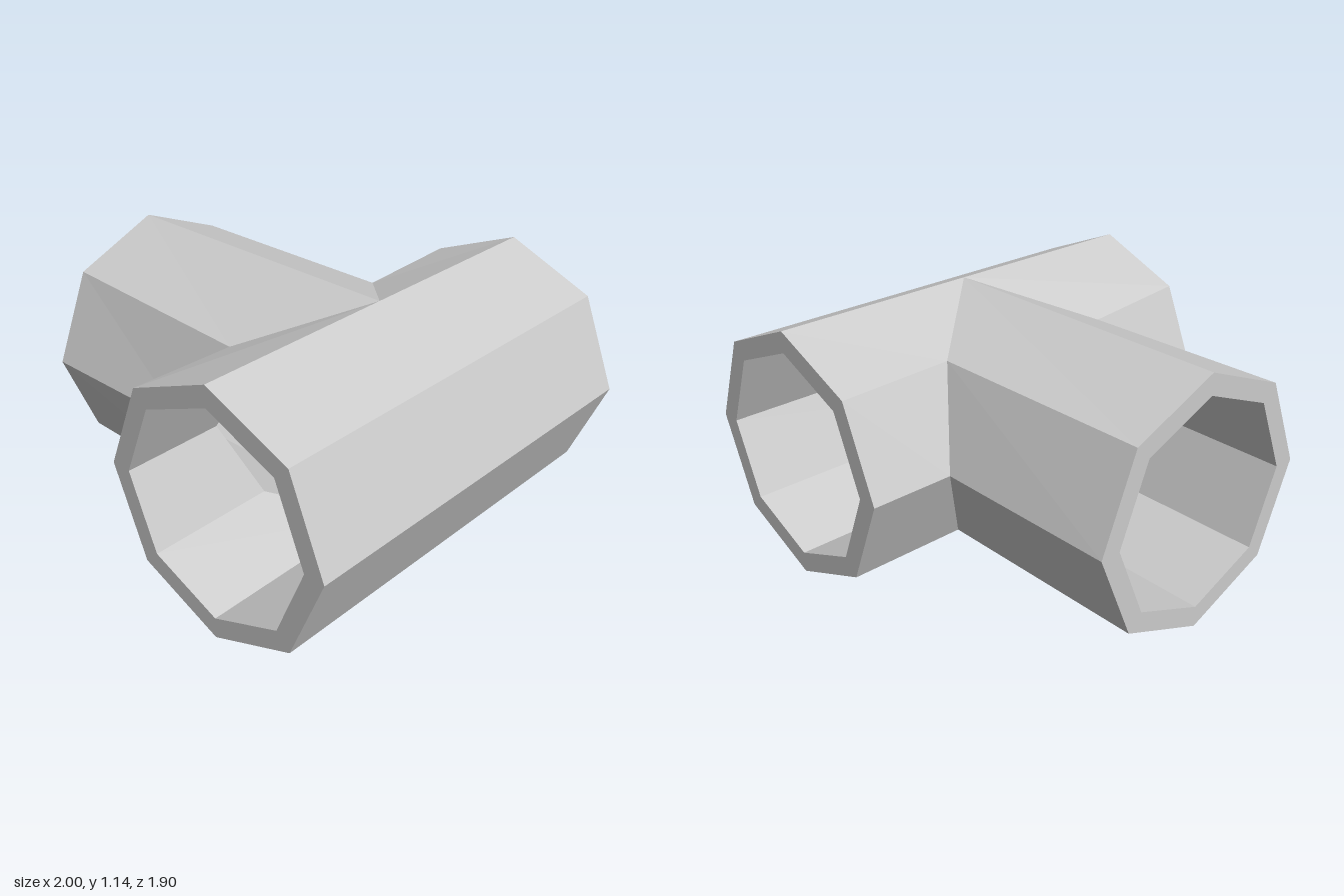
import * as THREE from 'three';

const CX = 0.428, CY = 0.571;      // main pipe axis
const OUTER = 0.571, INNER = 0.476; // octagon radii
const HALF = 0.95, END = -1;       // main pipe half length, branch mouth

const cos = k => Math.cos(k * Math.PI / 4), sin = k => Math.sin(k * Math.PI / 4);

// Corners of the outer mitre that sit slightly off the ideal line
const SEAM_SHIFT = {
  '3,1': [-0.024, -0.028, 0.026],
  '5,1': [-0.074, 0, 0.026],
  '3,-1': [0.026, 0, -0.008],
};

// Corner k of the mitre between main pipe and branch, on side +z or -z
function seam(r, k, side) {
  const v = new THREE.Vector3(CX + r * cos(k), CY + r * sin(k), -side * r * cos(k));
  const shift = SEAM_SHIFT[`${k},${side}`];
  return r === OUTER && shift ? v.add(new THREE.Vector3(...shift)) : v;
}
const mainRim = (r, k, side) => new THREE.Vector3(CX + r * cos(k), CY + r * sin(k), side * HALF);
const branchRim = (r, k, side) => new THREE.Vector3(END, CY + r * sin(k), -side * r * cos(k));

// Collects quads, turning each to face the given direction
class Faces {
  positions = [];
  quad(a, b, c, d, dir) {
    const n = c.clone().sub(a).cross(d.clone().sub(b));
    const q = n.dot(dir) < 0 ? [d, c, b, a] : [a, b, c, d];
    for (const i of [0, 1, 2, 0, 2, 3]) this.positions.push(q[i].x, q[i].y, q[i].z);
  }
  mesh(name) {
    const g = new THREE.BufferGeometry();
    g.setAttribute('position', new THREE.Float32BufferAttribute(this.positions, 3));
    g.computeVertexNormals();
    const m = new THREE.Mesh(g, new THREE.MeshStandardMaterial({ color: 0xcccccc, flatShading: true }));
    m.name = name;
    return m;
  }
}

export function createModel() {
  const main = new Faces(), branch = new Faces();

  for (const r of [OUTER, INNER]) {
    const sign = r === OUTER ? 1 : -1;
    for (let k = 0; k < 8; k++) {
      const j = k + 1, c = cos(k + 0.5), s = sin(k + 0.5);
      const mainDir = new THREE.Vector3(c, s, 0).multiplyScalar(sign);
      // Unbroken half of the main pipe
      if (c > 0) {
        main.quad(mainRim(r, k, 1), mainRim(r, j, 1), mainRim(r, j, -1), mainRim(r, k, -1), mainDir);
        continue;
      }
      // Half cut by the mitre, with the matching branch walls
      for (const side of [1, -1]) {
        main.quad(mainRim(r, k, side), mainRim(r, j, side), seam(r, j, side), seam(r, k, side), mainDir);
        const branchDir = new THREE.Vector3(0, s, -side * c).multiplyScalar(sign);
        branch.quad(branchRim(r, k, side), branchRim(r, j, side), seam(r, j, side), seam(r, k, side), branchDir);
      }
    }
  }

  // Rims closing the wall thickness at the three mouths
  for (const side of [1, -1]) {
    for (let k = 0; k < 8; k++) {
      const j = k + 1;
      main.quad(mainRim(OUTER, k, side), mainRim(OUTER, j, side), mainRim(INNER, j, side),
        mainRim(INNER, k, side), new THREE.Vector3(0, 0, side));
      if (cos(k + 0.5) < 0) {
        branch.quad(branchRim(OUTER, k, side), branchRim(OUTER, j, side), branchRim(INNER, j, side),
          branchRim(INNER, k, side), new THREE.Vector3(-1, 0, 0));
      }
    }
  }

  const group = new THREE.Group();
  group.name = 'pipeTee';
  group.add(main.mesh('mainPipe'), branch.mesh('branchPipe'));
  return group;
}
